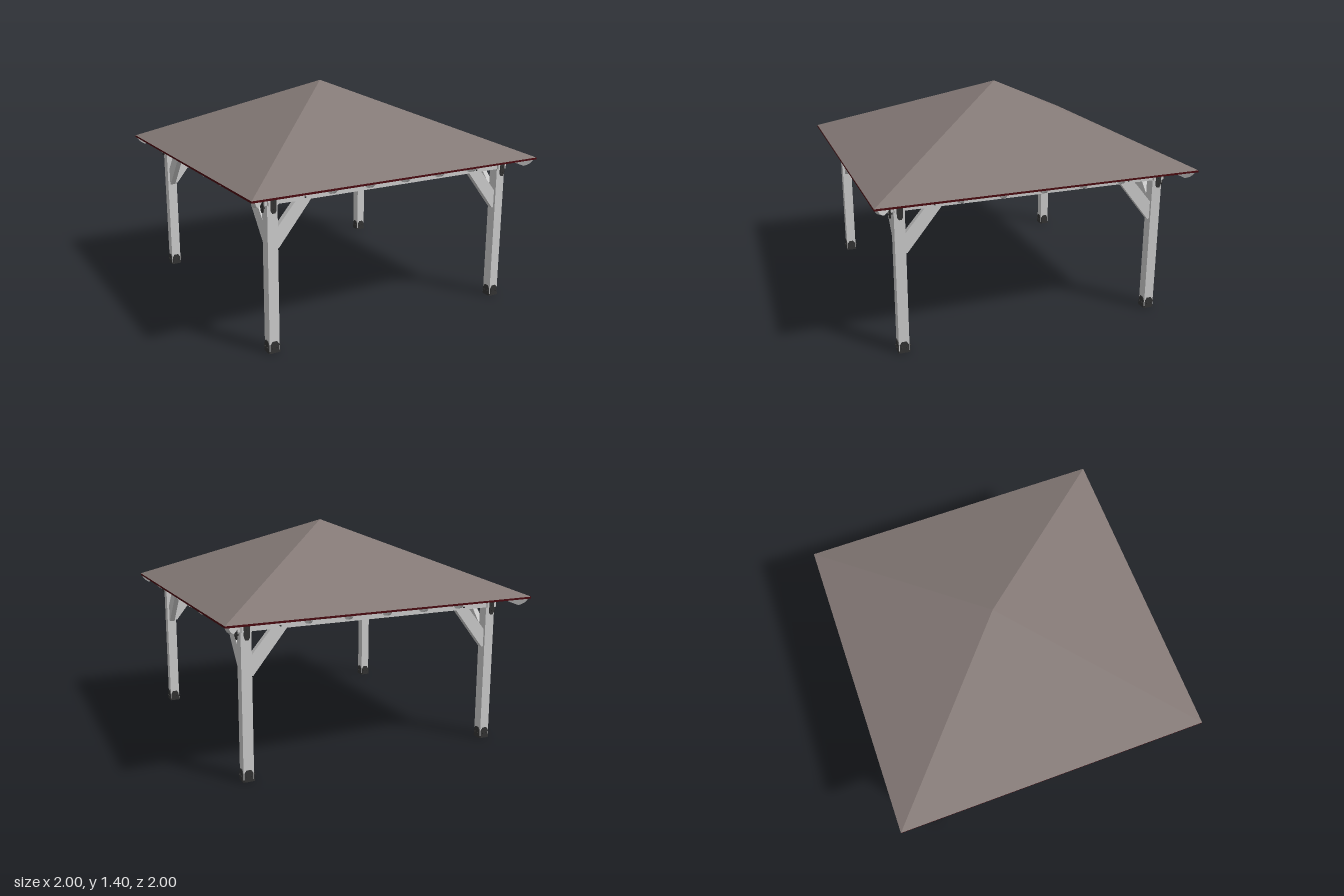
import * as THREE from 'three';

const wood = new THREE.MeshStandardMaterial({ color: 0xcccccc });
const metal = new THREE.MeshStandardMaterial({ color: 0x333333 });
const tiles = new THREE.MeshStandardMaterial({ color: 0x857a77 });
const boards = new THREE.MeshStandardMaterial({ color: 0x5e3a1a });
const trim = new THREE.MeshStandardMaterial({ color: 0x4a0a10 });

const EAVE = 0.955, SOFFIT = 0.943, RISE = 0.445;
const APEX = { x: 0.005, z: -0.045 };
const POST = 0.063;

function add(parent, name, geometry, material, x = 0, y = 0, z = 0) {
  const mesh = new THREE.Mesh(geometry, material);
  mesh.name = name;
  mesh.position.set(x, y, z);
  parent.add(mesh);
  return mesh;
}

const box = (w, h, d) => new THREE.BoxGeometry(w, h, d);

function extrude(points, depth) {
  const shape = new THREE.Shape(points.map(([x, y]) => new THREE.Vector2(x, y)));
  return new THREE.ExtrudeGeometry(shape, { depth, bevelEnabled: false }).translate(0, 0, -depth / 2);
}

// Bolt with its axis along z
function bolt(parent, x, y, z, length) {
  const geo = new THREE.CylinderGeometry(0.005, 0.005, length, 6).rotateX(Math.PI / 2);
  add(parent, 'bolt', geo, metal, x, y, z);
}

// Four sloping triangles meeting at the apex, facing up or down
function pyramid(y, up) {
  const corners = [[-1, 1], [0.995, 1], [0.995, -1], [-1, -1]];
  const pos = [];
  corners.forEach(([x, z], i) => {
    const [x2, z2] = corners[(i + 1) % 4];
    const a = [x, y, z], b = [x2, y, z2], top = [APEX.x, y + RISE, APEX.z];
    pos.push(...(up ? [...a, ...b, ...top] : [...b, ...a, ...top]));
  });
  const geo = new THREE.BufferGeometry();
  geo.setAttribute('position', new THREE.Float32BufferAttribute(pos, 3));
  geo.computeVertexNormals();
  return geo;
}

// Sloping timber from the eave inward, with a rounded tail
function rafter(parent, name, x0, z0, x1, z1, rise, width, depth = 0.06) {
  const run = Math.hypot(x1 - x0, z1 - z0), k = rise / run;
  const s = new THREE.Shape();
  s.moveTo(0.012, 0);
  s.quadraticCurveTo(0.025, -0.03, 0.068, k * 0.068 - depth);
  s.lineTo(run, rise - depth);
  s.lineTo(run, rise);
  s.lineTo(0.012, k * 0.012);
  const geo = new THREE.ExtrudeGeometry(s, { depth: width, bevelEnabled: false, curveSegments: 8 });
  geo.translate(0, 0, -width / 2);
  const along = new THREE.Vector3((x1 - x0) / run, 0, (z1 - z0) / run);
  const up = new THREE.Vector3(0, 1, 0);
  geo.applyMatrix4(new THREE.Matrix4().makeBasis(along, up, along.clone().cross(up)));
  add(parent, name, geo, wood, x0, SOFFIT - 0.001, z0);
}

// Post with shoe, braces and top plates; its inner sides face -x and -z
function makeCorner() {
  const g = new THREE.Group();
  g.name = 'cornerPost';
  add(g, 'post', box(POST, 0.93, POST), wood, 0, 0.475, 0);
  add(g, 'shoeBase', box(0.068, 0.012, 0.068), metal, 0, 0.006, 0);

  // Pointed shoe plates on all four faces
  const shoe = extrude([[-0.027, 0], [0.027, 0], [0.027, 0.05], [0.014, 0.07], [-0.014, 0.07], [-0.027, 0.05]], 0.005);
  for (let i = 0; i < 4; i++) {
    const side = new THREE.Group();
    side.name = 'shoeSide';
    side.rotation.y = i * Math.PI / 2;
    add(side, 'shoePlate', shoe, metal, 0, 0, POST / 2 + 0.002);
    for (const x of [-0.014, 0.014]) bolt(side, x, 0.033, POST / 2 + 0.006, 0.012);
    g.add(side);
  }

  // Tie plates over the beam ends, on the two outer faces
  const tie = extrude([[-0.017, 0.845], [-0.008, 0.83], [0.008, 0.83], [0.017, 0.845],
    [0.017, 0.935], [0.008, 0.95], [-0.008, 0.95], [-0.017, 0.935]], 0.006);
  for (const turn of [0, Math.PI / 2]) {
    const side = new THREE.Group();
    side.name = 'tieSide';
    side.rotation.y = turn;
    add(side, 'tiePlate', tie, metal, 0, 0, 0.046);
    for (const y of [0.89, 0.91, 0.93]) bolt(side, 0, y, 0.051, 0.012);
    bolt(side, 0, 0.855, 0.04, 0.03);
    g.add(side);
  }

  // Diagonal braces towards both neighbouring posts
  const brace = extrude([[-0.03, 0.73], [-0.03, 0.62], [-0.042, 0.615], [-0.253, 0.877], [-0.155, 0.877]], 0.034);
  for (const turn of [0, -Math.PI / 2]) {
    const arm = new THREE.Group();
    arm.name = 'braceArm';
    arm.rotation.y = turn;
    add(arm, 'brace', brace, wood);
    for (const y of [0.89, 0.92]) bolt(arm, -0.203, y, 0, POST + 0.008);
    bolt(arm, -0.043, 0.627, 0, 0.02);
    g.add(arm);
  }
  return g;
}

export function createModel() {
  const model = new THREE.Group();
  model.name = 'pavilion';

  // Corner posts
  const corners = [[0.823, 0.833], [0.823, -0.804], [-0.816, -0.804], [-0.816, 0.833]];
  corners.forEach(([x, z], i) => {
    const corner = makeCorner();
    corner.position.set(x, 0, z);
    corner.rotation.y = i * Math.PI / 2;
    model.add(corner);
  });

  // Ring beams
  for (const z of [0.833, -0.804]) add(model, 'crossBeam', box(1.729, 0.073, POST - 0.002), wood, 0.0035, 0.9115, z);
  for (const x of [0.823, -0.816]) add(model, 'sideBeam', box(POST - 0.002, 0.073, 1.727), wood, x, 0.9115, 0.0145);

  // Common and jack rafters, each ending at the hip
  for (let i = -2; i <= 2; i++) {
    for (const e of [-1, 1]) {
      const x = 0.005 + i * 0.2475;
      const fx = i === 0 ? 1 : 1 - (x - APEX.x) / (Math.sign(i) - APEX.x);
      rafter(model, 'rafter', x, e, x, e + fx * (APEX.z - e), fx * RISE, 0.02);
      const z = 0.01 + i * 0.25;
      const fz = 1 - Math.abs((z - APEX.z) / (Math.sign(z - APEX.z) - APEX.z));
      rafter(model, 'rafter', e, z, e + fz * (APEX.x - e), z, fz * RISE, 0.02);
    }
  }

  // Hip rafters from the four corners
  for (const x of [-0.995, 0.99]) {
    for (const z of [-0.995, 0.995]) rafter(model, 'hipRafter', x, z, APEX.x, APEX.z, RISE, 0.024, 0.065);
  }

  // Roof covering, boarded underside and eave trim
  add(model, 'roofCovering', pyramid(EAVE, true), tiles);
  add(model, 'roofBoards', pyramid(SOFFIT, false), boards);
  const h = EAVE - SOFFIT, y = (EAVE + SOFFIT) / 2;
  for (const e of [-1, 1]) {
    add(model, 'eaveTrim', box(1.995, h, 0.006), trim, -0.0025, y, e * 0.997);
    add(model, 'eaveTrim', box(0.006, h, 1.988), trim, e < 0 ? -0.997 : 0.992, y, 0);
  }
  return model;
}
